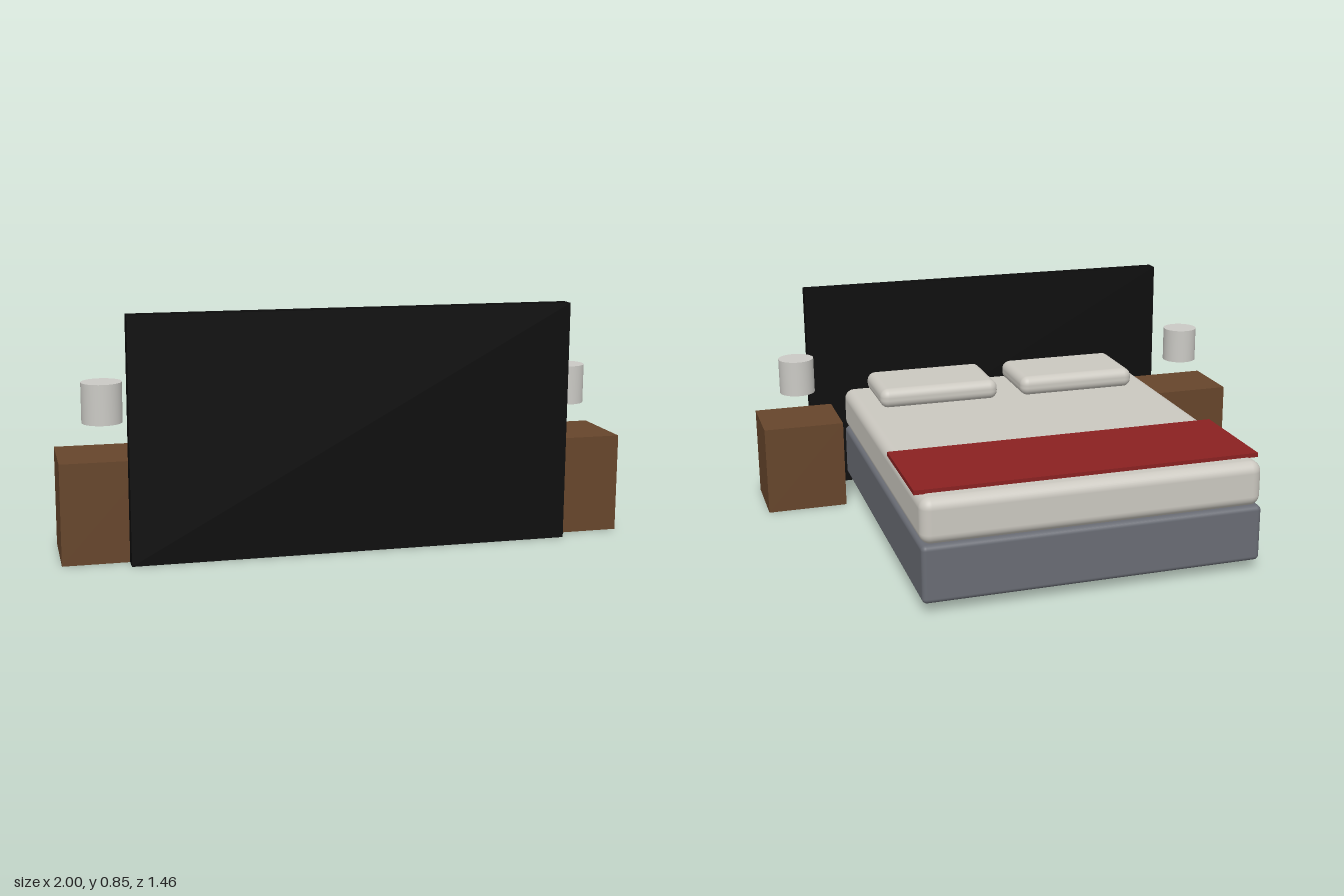
import * as THREE from 'three';
import { RoundedBoxGeometry } from 'three/addons/geometries/RoundedBoxGeometry.js';

const material = (name, color) => {
  const m = new THREE.MeshStandardMaterial({ color });
  m.name = name;
  return m;
};

export function createModel() {
  const bed = new THREE.Group();
  bed.name = 'bed';

  const linen = material('linen', 0xcbc8c0);
  const shade = material('lampShade', 0xcbcac5);
  const grey = material('greyFabric', 0x696c74);
  const black = material('blackPanel', 0x0c0c0c);
  const wood = material('brownWood', 0x66452b);
  const red = material('redCloth', 0x8a2121);

  // Box given by its extents; a radius rounds its edges
  const box = (name, mat, [x0, x1], [y0, y1], [z0, z1], radius = 0) => {
    const size = [x1 - x0, y1 - y0, z1 - z0];
    const geometry = radius
      ? new RoundedBoxGeometry(...size, 5, radius)
      : new THREE.BoxGeometry(...size);
    const mesh = new THREE.Mesh(geometry, mat);
    mesh.name = name;
    mesh.position.set((x0 + x1) / 2, (y0 + y1) / 2, (z0 + z1) / 2);
    bed.add(mesh);
    return mesh;
  };

  // Bed
  box('headboard', black, [-0.772, 0.772], [0, 0.845], [0.672, 0.728]);
  box('base', grey, [-0.63, 0.63], [0.038, 0.25], [-0.728, 0.672], 0.018);
  box('mattress', linen, [-0.63, 0.63], [0.248, 0.416], [-0.728, 0.672], 0.04);
  box('runner', red, [-0.637, 0.637], [0.414, 0.43], [-0.66, -0.24]);

  // Pillow, nightstand and lamp on each side
  for (const [side, s] of [['left', 1], ['right', -1]]) {
    const span = (a, b) => (s > 0 ? [a, b] : [-b, -a]);
    box(side + 'Pillow', linen, span(0.05, 0.538), [0.412, 0.491], [0.32, 0.635], 0.034);
    box(side + 'Nightstand', wood, span(0.685, 1), [0, 0.35], [0.392, 0.672]);
    const lamp = new THREE.Mesh(new THREE.CylinderGeometry(0.07, 0.07, 0.14, 32), shade);
    lamp.name = side + 'LampShade';
    lamp.position.set(s * 0.842, 0.528, 0.532);
    bed.add(lamp);
  }

  return bed;
}
